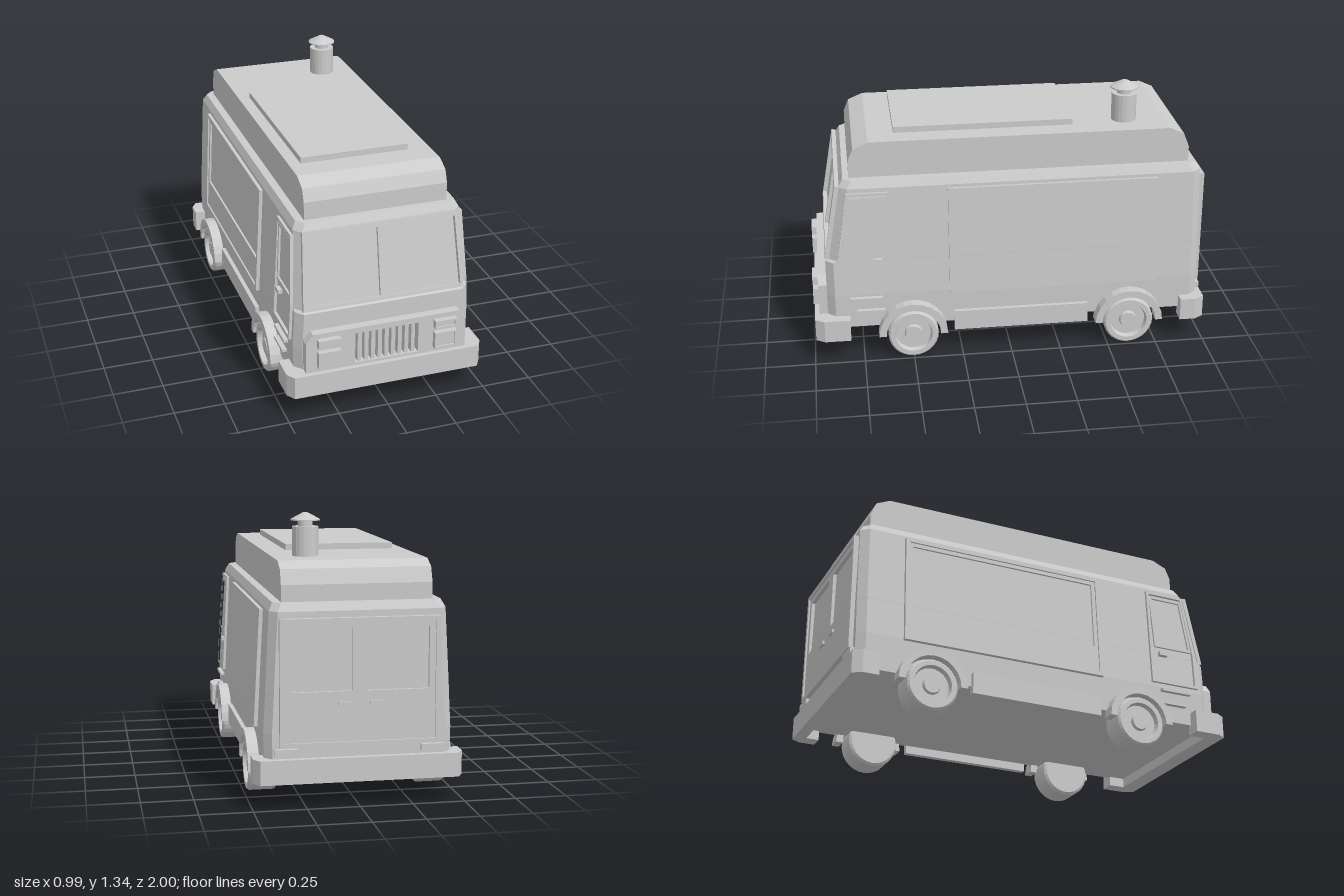
import * as THREE from 'three';

const material = new THREE.MeshStandardMaterial({ color: 0xcccccc, flatShading: true });

function add(parent, name, geometry, x = 0, y = 0, z = 0) {
  const mesh = new THREE.Mesh(geometry, material);
  mesh.name = name;
  mesh.position.set(x, y, z);
  parent.add(mesh);
  return mesh;
}

const box = (w, h, d) => new THREE.BoxGeometry(w, h, d);
const rect = (x0, x1, y0, y1) => [[x0, y0], [x1, y0], [x1, y1], [x0, y1]];
const toVectors = pts => pts.map(p => new THREE.Vector2(p[0], p[1]));

// Flat plate from an outline, with optional openings
function plate(outline, depth, holes = []) {
  const shape = new THREE.Shape(toVectors(outline));
  holes.forEach(h => shape.holes.push(new THREE.Path(toVectors(h))));
  return new THREE.ExtrudeGeometry(shape, { depth, bevelEnabled: false, curveSegments: 16 });
}

// Shell lofted through chamfered rectangles: [y, half width, front z, back z]
function bodyGeometry(levels) {
  const cx = 0.035, cz = 0.04, pos = [], idx = [];
  for (const [y, h, f, b] of levels) {
    const a = h - cx;
    [[-a, f], [a, f], [h, f - cz], [h, b + cz], [a, b], [-a, b], [-h, b + cz], [-h, f - cz]]
      .forEach(([x, z]) => pos.push(x, y, z));
  }
  const top = (levels.length - 1) * 8;
  for (let l = 0; l < top; l += 8) {
    for (let i = 0; i < 8; i++) {
      const j = (i + 1) % 8;
      idx.push(l + i, l + j, l + 8 + j, l + i, l + 8 + j, l + 8 + i);
    }
  }
  for (let i = 1; i < 7; i++) idx.push(top, top + i, top + i + 1, 0, i + 1, i);
  const g = new THREE.BufferGeometry();
  g.setAttribute('position', new THREE.Float32BufferAttribute(pos, 3));
  g.setIndex(idx);
  const flat = g.toNonIndexed();
  flat.computeVertexNormals();
  return flat;
}

export function createModel() {
  const van = new THREE.Group();
  van.name = 'foodVan';

  add(van, 'body', bodyGeometry([
    [0.17, 0.44, 0.925, -0.97], [0.35, 0.444, 0.925, -0.97], [0.53, 0.434, 0.925, -0.97],
    [0.54, 0.434, 0.905, -0.97], [0.915, 0.414, 0.84, -0.965], [0.952, 0.395, 0.82, -0.945],
  ]));

  // Raised roof with rounded ends
  const roof = add(van, 'raisedRoof', plate([
    [-0.79, 0.945], [-0.79, 1.04], [-0.765, 1.1], [-0.69, 1.132], [0.81, 1.132],
    [0.88, 1.1], [0.908, 1.03], [0.908, 0.945]], 0.71), -0.355);
  roof.rotation.y = Math.PI / 2;
  add(van, 'roofHatch', box(0.54, 0.04, 0.895), -0.027, 1.142, 0.113);

  // Chimney with a conical rain cap
  add(van, 'chimney', new THREE.LatheGeometry(toVectors([
    [0.063, 1.12], [0.063, 1.272], [0.036, 1.272], [0.036, 1.3],
    [0.07, 1.3], [0.07, 1.306], [0.012, 1.337], [0, 1.337]]), 20), 0.19, 0, -0.605);

  // Windscreen frame, leaning back
  const screen = new THREE.Group();
  screen.name = 'windscreen';
  screen.position.set(0, 0.54, 0.905);
  screen.rotation.x = -0.172;
  van.add(screen);
  add(screen, 'windscreenFrame', plate(
    [[-0.403, 0], [0.403, 0], [0.386, 0.385], [-0.386, 0.385]], 0.022,
    [[[-0.388, 0.018], [0.388, 0.018], [0.368, 0.362], [-0.368, 0.362]]]));
  add(screen, 'windscreenBar', box(0.036, 0.36, 0.016), 0, 0.19, 0.008);

  // Front panel with grille and headlights
  add(van, 'frontPanel', plate(
    [[-0.405, 0.2], [0.405, 0.2], [0.405, 0.395], [0.37, 0.44], [-0.37, 0.44], [-0.405, 0.395]],
    0.045, [rect(-0.16, 0.16, 0.25, 0.41)]), 0, 0, 0.922);
  for (let i = -4; i <= 4; i++) add(van, 'grilleSlat', box(0.018, 0.16, 0.034), i * 0.034, 0.33, 0.942);
  for (const s of [-1, 1]) {
    for (const [y0, y1] of [[0.372, 0.415], [0.265, 0.35]]) {
      add(van, 'headlightFrame', plate(rect(s * 0.237, s * 0.35, y0, y1), 0.035,
        [rect(s * 0.249, s * 0.338, y0 + 0.01, y1 - 0.01)]), 0, 0, 0.96);
      add(van, 'headlightLens', box(0.09, y1 - y0 - 0.02, 0.028), s * 0.2935, (y0 + y1) / 2, 0.974);
    }
  }

  // Wraparound bumpers, drawn in plan
  function bumper(name, sign, outer, end, thick) {
    const inner = outer - thick;
    const pts = [[-0.495, end], [-0.495, outer - 0.045], [-0.467, outer], [0.467, outer],
      [0.495, outer - 0.045], [0.495, end], [0.42, end], [0.42, inner], [-0.42, inner], [-0.42, end]];
    const mesh = add(van, name, plate(pts.map(([x, z]) => [x, -sign * z]), 0.115), 0, 0.121, 0);
    mesh.rotation.x = -Math.PI / 2;
  }
  bumper('frontBumper', 1, 0.99, 0.815, 0.09);
  bumper('rearBumper', -1, 1.0, 0.875, 0.06);

  // Rear doors, windows, handles and lamps
  add(van, 'rearDoorFrame', plate(rect(-0.375, 0.375, 0.29, 0.885), 0.025,
    [rect(-0.355, 0.355, 0.31, 0.865)]), 0, 0, -0.992);
  add(van, 'rearDoors', plate(rect(-0.356, 0.356, 0.309, 0.866), 0.02,
    [rect(-0.325, -0.035, 0.545, 0.835), rect(0.035, 0.325, 0.545, 0.835)]), 0, 0, -0.984);
  for (const s of [-1, 1]) {
    add(van, 'rearDoorHandle', box(0.06, 0.018, 0.014), s * 0.075, 0.49, -0.988);
    add(van, 'rearLamp', box(0.11, 0.032, 0.026), s * 0.345, 0.267, -0.978);
  }

  for (const s of [-1, 1]) {
    // Wall-mounted parts, outlined as [z, y] and leaning with the wall
    const wall = new THREE.Group();
    wall.name = s > 0 ? 'leftSide' : 'rightSide';
    wall.rotation.y = s * Math.PI / 2;
    van.add(wall);
    const flip = pts => pts.map(([z, y]) => [-s * z, y]);
    const onWall = (name, outline, depth, holes = []) => {
      const mesh = add(wall, name, plate(
        flip(outline.map(([z, y]) => [z, y - 0.35])), depth,
        holes.map(h => flip(h.map(([z, y]) => [z, y - 0.35])))), 0, 0.35, 0.44);
      mesh.rotation.x = -0.0535;
    };
    onWall('servingHatchFrame', rect(-0.745, 0.31, 0.342, 0.9), 0.022, [rect(-0.725, 0.29, 0.362, 0.88)]);
    onWall('servingHatchPanel', rect(-0.726, 0.291, 0.361, 0.881), 0.014, [rect(-0.705, 0.27, 0.505, 0.86)]);
    onWall('doorFrame', [[0.86, 0.37], [0.86, 0.56], [0.81, 0.895], [0.595, 0.895], [0.595, 0.37]], 0.018,
      [[[0.845, 0.385], [0.845, 0.56], [0.797, 0.88], [0.61, 0.88], [0.61, 0.385]]]);
    onWall('doorWindowFrame', [[0.84, 0.575], [0.802, 0.872], [0.612, 0.872], [0.625, 0.575]], 0.014,
      [[[0.825, 0.59], [0.79, 0.857], [0.627, 0.857], [0.638, 0.59]]]);
    onWall('doorHandle', rect(0.645, 0.69, 0.525, 0.545), 0.026);

    // Steps below the door and the hanging sill
    add(van, 'upperStep', box(0.035, 0.014, 0.165), s * 0.448, 0.332, 0.727);
    add(van, 'lowerStep', box(0.035, 0.014, 0.14), s * 0.448, 0.262, 0.71);
    add(van, 'sill', box(0.03, 0.105, 0.685), s * 0.447, 0.181, -0.053);

    for (const z of [0.5, -0.607]) {
      // Wheel with recessed rim and hub
      const wheel = add(van, 'wheel', new THREE.LatheGeometry(toVectors([
        [0, -0.07], [0.115, -0.07], [0.127, -0.06], [0.127, 0.06], [0.118, 0.07], [0.095, 0.07],
        [0.088, 0.045], [0.045, 0.045], [0.04, 0.06], [0, 0.06]]), 28), s * 0.415, 0.128, z);
      wheel.rotation.z = -s * Math.PI / 2;

      // Wheel arch
      const arc = (r, from, to) => Array.from({ length: 13 }, (_, i) => {
        const t = from + (to - from) * i / 12;
        return [r * Math.cos(t), r * Math.sin(t)];
      });
      const arch = add(van, 'wheelArch', plate(
        [...arc(0.174, 0, Math.PI), ...arc(0.138, Math.PI, 0)], 0.07), s * 0.425, 0.13, z);
      arch.rotation.y = s * Math.PI / 2;
    }
  }
  return van;
}
